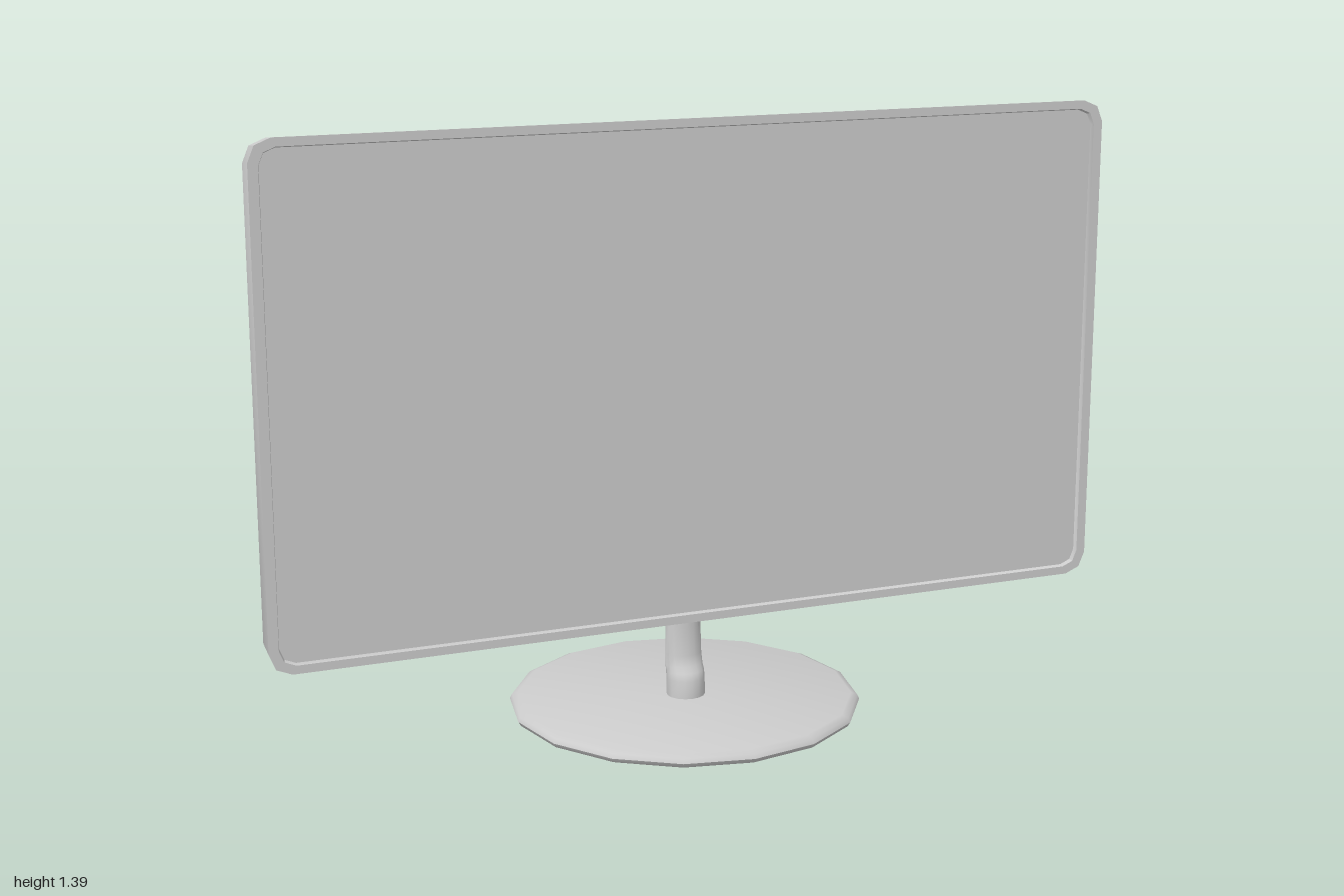
import * as THREE from 'three';
import { toCreasedNormals } from 'three/addons/utils/BufferGeometryUtils.js';

const material = new THREE.MeshStandardMaterial({ color: 0xcccccc });
const CENTER_Y = 0.818;

function addMesh(group, name, geometry, crease = 0.6) {
  const mesh = new THREE.Mesh(toCreasedNormals(geometry, crease), material);
  mesh.name = name;
  group.add(mesh);
}

// Skins a row of equal-length loops, with optional flat caps at the ends.
function loft(loops, capStart, capEnd) {
  const positions = [];
  const tri = (a, b, c) => {
    if (new THREE.Triangle(a, b, c).getArea() > 1e-8) {
      for (const p of [a, b, c]) positions.push(p.x, p.y, p.z);
    }
  };
  const n = loops[0].length;
  for (let k = 0; k < loops.length - 1; k++) {
    const a = loops[k], b = loops[k + 1];
    for (let i = 0; i < n; i++) {
      const j = (i + 1) % n;
      tri(a[i], b[i], a[j]);
      tri(b[i], b[j], a[j]);
    }
  }
  const first = loops[0], last = loops[loops.length - 1];
  for (let i = 1; i < n - 1; i++) {
    if (capStart) tri(first[0], first[i], first[i + 1]);
    if (capEnd) tri(last[0], last[i + 1], last[i]);
  }
  const geometry = new THREE.BufferGeometry();
  geometry.setAttribute('position', new THREE.Float32BufferAttribute(positions, 3));
  return geometry;
}

// Rectangle with three points per corner; radius 0 gives sharp corners.
function panelLoop(halfW, halfH, radius, z) {
  const loop = [];
  [[1, 1], [-1, 1], [-1, -1], [1, -1]].forEach(([sx, sy], q) => {
    for (let i = 0; i < 3; i++) {
      const t = (q + i / 2) * Math.PI / 2;
      loop.push(new THREE.Vector3(
        sx * (halfW - radius) + radius * Math.cos(t),
        CENTER_Y + sy * (halfH - radius) + radius * Math.sin(t), z));
    }
  });
  return loop;
}

// Oval cross-section of the neck.
function neckLoop([y, zFront, zBack, halfW]) {
  return Array.from({ length: 16 }, (_, i) => {
    const t = i / 16 * Math.PI * 2;
    return new THREE.Vector3(halfW * Math.cos(t), y,
      (zFront + zBack) / 2 + (zFront - zBack) / 2 * Math.sin(t));
  });
}

export function createModel() {
  const model = new THREE.Group();
  model.name = 'monitor';

  // Bezel, side walls and raised back in one skin
  addMesh(model, 'housing', loft([
    panelLoop(0.975, 0.55, 0.035, 0.11),
    panelLoop(0.978, 0.553, 0.037, 0.12),
    panelLoop(1, 0.572, 0.05, 0.12),
    panelLoop(0.998, 0.565, 0.05, 0.06),
    panelLoop(0.78, 0.445, 0, 0.06),
    panelLoop(0.61, 0.352, 0, -0.037),
  ], false, true));

  // Recessed display surface
  addMesh(model, 'screen', new THREE.ShapeGeometry(
    new THREE.Shape(panelLoop(0.975, 0.55, 0.035, 0).map(p => new THREE.Vector2(p.x, p.y)))
  ).translate(0, 0, 0.11));

  // Neck: y, front z, back z, half width
  addMesh(model, 'neck', loft([
    [0.03, 0.052, -0.037, 0.045],
    [0.075, 0.05, -0.037, 0.045],
    [0.092, 0.043, -0.037, 0.045],
    [0.105, 0.03, -0.037, 0.045],
    [0.13, 0.023, -0.037, 0.044],
    [0.2, 0.018, -0.037, 0.043],
    [0.3, 0.014, -0.036, 0.041],
    [0.42, 0.011, -0.035, 0.037],
    [0.455, 0.01, -0.034, 0.032],
    [0.47, 0.005, -0.028, 0.02],
  ].map(neckLoop), true, true), 0.8);

  // Round foot with a softened rim
  const profile = [[0, 0], [0.385, 0], [0.404, 0.008], [0.41, 0.018], [0.405, 0.028], [0.39, 0.034], [0, 0.034]];
  addMesh(model, 'base', new THREE.LatheGeometry(
    profile.map(([r, y]) => new THREE.Vector2(r, y)), 16), 0.8);

  return model;
}
